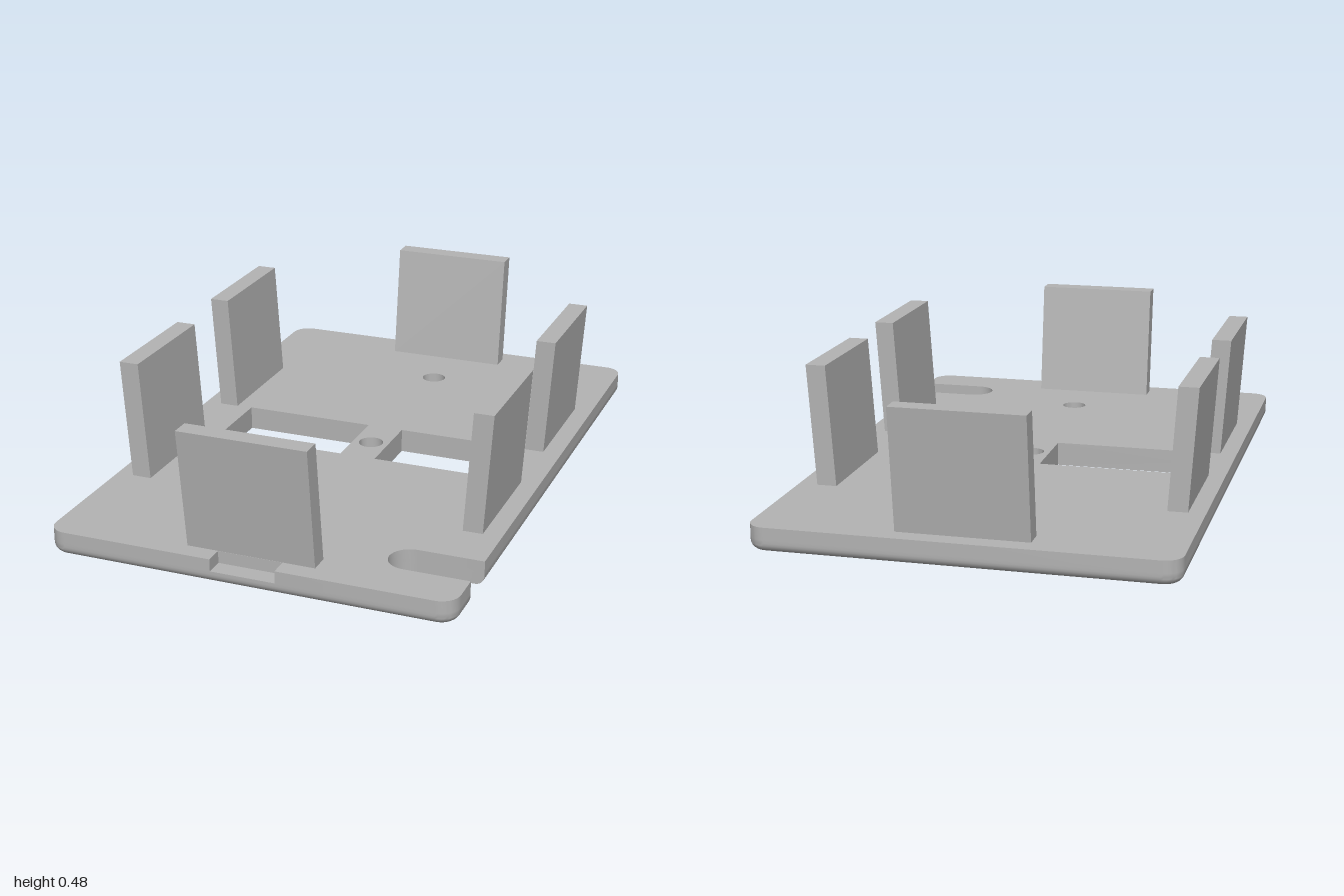
import * as THREE from 'three';
import { toCreasedNormals } from 'three/addons/utils/BufferGeometryUtils.js';

const HX = 0.665, HZ = 1, TOP = 0.08, STEP = 0.04, CORNER = 0.06, FILLET = 0.03;
const NOTCH = [[0.105, HZ], [0.105, 0.94], [-0.107, 0.94], [-0.107, HZ]];

function arc(cx, cz, r, from, to, n) {
  const pts = [];
  for (let i = 0; i <= n; i++) {
    const a = THREE.MathUtils.degToRad(from + (to - from) * i / n);
    pts.push(new THREE.Vector2(cx + r * Math.cos(a), cz + r * Math.sin(a)));
  }
  return pts;
}
const vec = (list) => list.map(([x, z]) => new THREE.Vector2(x, z));

// Plate outline (x, z) with the cable slot; the inset shrinks only the outer edge
function outline(inset, notch = []) {
  const cx = HX - CORNER, cz = HZ - CORNER, r = CORNER - inset;
  return [
    ...arc(cx, -cz, r, -90, 0, 10),
    ...vec([[HX - inset, 0.715]]),
    ...arc(0.453, 0.7825, 0.0675, -90, -270, 20),
    ...vec([[HX - inset, 0.85]]),
    ...arc(cx, cz, r, 0, 90, 10),
    ...vec(notch),
    ...arc(-cx, cz, r, 90, 180, 10),
    ...arc(-cx, -cz, r, 180, 270, 10),
  ];
}

// Three screw holes and two windows, wound opposite to the outline
function cutouts() {
  const circles = [-0.66, 0, 0.655].map((z) => arc(0.026, z, 0.042, 360, 0, 28).slice(0, -1));
  const windows = [[-0.49, -0.037], [0.088, 0.485]].map(([a, b]) =>
    vec([[a, -0.14], [a, 0.127], [b, 0.127], [b, -0.14]]));
  return [...circles, ...windows];
}

function plateShape(points) {
  const shape = new THREE.Shape(points);
  shape.holes = cutouts().map((p) => new THREE.Path(p));
  return shape;
}

// Wall through rings of equal point count, listed from top to bottom
function wall(rings) {
  const pos = [], index = [], n = rings[0].points.length;
  rings.forEach(({ points, y }) => points.forEach((p) => pos.push(p.x, y, p.y)));
  for (let k = 0; k < rings.length - 1; k++) {
    for (let i = 0; i < n; i++) {
      const a = k * n + i, b = k * n + (i + 1) % n;
      index.push(a, b, b + n, a, b + n, a + n);
    }
  }
  const geo = new THREE.BufferGeometry();
  geo.setAttribute('position', new THREE.Float32BufferAttribute(pos, 3));
  geo.setIndex(index);
  return toCreasedNormals(geo, 0.6);
}

// Upright plate leaning outward towards +z
function clipGeometry(width, thickness, lean) {
  const height = 0.477 - TOP;
  const geo = new THREE.BoxGeometry(width, height, thickness).translate(0, height / 2, 0);
  const p = geo.attributes.position;
  for (let i = 0; i < p.count; i++) p.setZ(i, p.getZ(i) + lean * p.getY(i) / height);
  geo.computeVertexNormals();
  return geo;
}

export function createModel() {
  const model = new THREE.Group();
  model.name = 'mountingTray';
  const grey = new THREE.MeshStandardMaterial({ color: 0xb3b3b3 });
  grey.name = 'plain grey';
  const add = (name, geo, parent) => {
    const mesh = new THREE.Mesh(geo, grey);
    mesh.name = name;
    parent.add(mesh);
    return mesh;
  };

  // Base plate
  const base = new THREE.Group();
  base.name = 'basePlate';
  model.add(base);

  // Upper layer, notched at the front
  const upper = new THREE.ExtrudeGeometry(plateShape(outline(0, NOTCH)),
    { depth: TOP - STEP, bevelEnabled: false });
  upper.rotateX(Math.PI / 2).translate(0, TOP, 0);
  add('upperPlate', toCreasedNormals(upper, 0.6), base);

  // Lower layer, rounded along its bottom edge
  const rings = [{ points: outline(0), y: STEP }];
  for (let i = 6; i >= 0; i--) {
    const t = i / 6 * Math.PI / 2;
    rings.push({ points: outline(FILLET * (1 - Math.sin(t))), y: FILLET * (1 - Math.cos(t)) });
  }
  add('lowerRim', wall(rings), base);
  cutouts().forEach((points) =>
    add('cutoutWall', wall([{ points, y: STEP }, { points, y: 0 }]), base));
  add('underside', new THREE.ShapeGeometry(plateShape(outline(FILLET))).rotateX(Math.PI / 2), base);
  add('notchFloor', new THREE.PlaneGeometry(0.212, 0.06).rotateX(-Math.PI / 2)
    .translate(-0.001, STEP, 0.97), base);

  // End clips
  const endClip = clipGeometry(0.42, 0.064, 0.051);
  add('frontClip', endClip, model).position.set(0, TOP, 0.907);
  const back = add('backClip', endClip, model);
  back.position.set(0, TOP, -0.907);
  back.rotation.y = Math.PI;

  // Side clips
  const sideClip = clipGeometry(0.412, 0.065, 0.027);
  for (const [side, x, turn] of [['left', 0.57, 1], ['right', -0.576, -1]]) {
    for (const [end, z] of [['Front', 0.335], ['Back', -0.341]]) {
      const clip = add(`${side}${end}Clip`, sideClip, model);
      clip.position.set(x, TOP, z);
      clip.rotation.y = turn * Math.PI / 2;
    }
  }
  return model;
}
